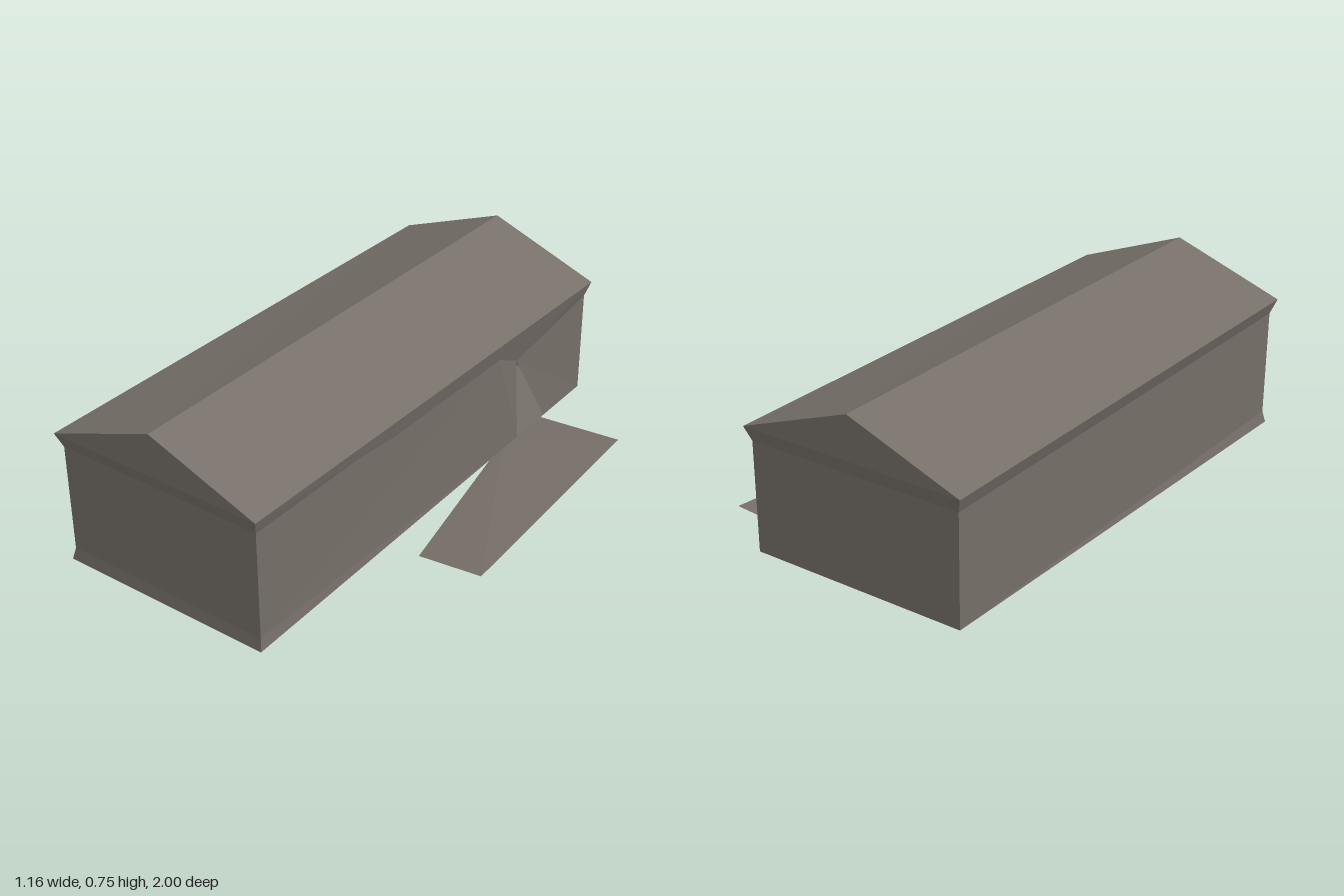
import * as THREE from 'three';

const weathered = new THREE.MeshStandardMaterial({ color: 0x766f68, side: THREE.DoubleSide });
weathered.name = 'weathered grey';

// Flat-sided mesh from convex polygons, corners counter-clockwise from outside
function panels(name, polygons) {
  const pos = [];
  for (const p of polygons) {
    for (let i = 1; i < p.length - 1; i++) pos.push(...p[0], ...p[i], ...p[i + 1]);
  }
  const geo = new THREE.BufferGeometry();
  geo.setAttribute('position', new THREE.Float32BufferAttribute(pos, 3));
  geo.computeVertexNormals();
  const mesh = new THREE.Mesh(geo, weathered);
  mesh.name = name;
  return mesh;
}

// Four corners of a level: front right, back right, back left, front left
function level(x0, x1, zFront, zBack, yFront, yBack) {
  return [[x1, yFront, zFront], [x1, yBack, zBack], [x0, yBack, zBack], [x0, yFront, zFront]];
}

// Side i of the band between two levels
const side = (lo, hi, i) => [lo[i], lo[(i + 1) % 4], hi[(i + 1) % 4], hi[i]];

export function createModel() {
  const group = new THREE.Group();
  group.name = 'shed';

  // The floor slopes up to the back, so the flared foot tapers away there
  const foot = level(-0.57, 0.272, 0.99, -0.98, 0.08, 0.13);
  const low = level(-0.56, 0.265, 0.98, -0.98, 0.125, 0.131);
  foot[1][0] = low[1][0];
  foot[2][0] = low[2][0];
  const high = level(-0.56, 0.265, 0.98, -0.98, 0.535, 0.535);
  const eave = level(-0.58, 0.282, 1, -1, 0.59, 0.59);
  const ridgeFront = [-0.145, 0.75, 1];
  const ridgeBack = [-0.155, 0.75, -1];

  // Torn opening in the right wall
  const tearTop = [0.247, 0.445, -0.53];
  const tearFront = [0.267, 0.118, -0.53];
  const tearBack = [0.265, 0.124, -0.72];
  const bandEnd = [0.265, 0.535, -0.38];

  group.add(panels('floor', [[foot[3], foot[2], foot[1], foot[0]]]));
  group.add(panels('walls', [1, 2, 3].map((i) => side(low, high, i))));
  group.add(panels('footFlare', [1, 2, 3].map((i) => side(foot, low, i))));
  group.add(panels('eaveFlare', [1, 2, 3].map((i) => side(high, eave, i))));
  group.add(panels('tornWall', [
    [foot[0], tearFront, low[0]],
    [low[0], tearFront, bandEnd, high[0]],
    [tearFront, tearTop, bandEnd],
    [tearBack, low[1], tearTop],
    [low[1], high[1], tearTop],
  ]));
  group.add(panels('saggingEave', [
    [high[0], bandEnd, eave[0]],
    [bandEnd, tearTop, eave[0]],
    [tearTop, eave[1], eave[0]],
    [tearTop, high[1], eave[1]],
  ]));

  // Roof and gables
  group.add(panels('roof', [
    [eave[0], eave[1], ridgeBack, ridgeFront],
    [eave[2], eave[3], ridgeFront, ridgeBack],
  ]));
  group.add(panels('gables', [
    [eave[3], eave[0], ridgeFront],
    [eave[1], eave[2], ridgeBack],
  ]));

  // Bent sheet lying below the opening
  const inner = [0.21, 0.08, -0.53];
  const innerBack = [0.21, 0.08, -0.76];
  const outerBack = [0.577, 0.106, -0.76];
  const outerFront = [0.577, 0.028, 0.18];
  const innerFront = [0.315, 0, 0.18];
  group.add(panels('fallenSheet', [
    [inner, outerBack, innerBack],
    [inner, outerFront, outerBack],
    [inner, innerFront, outerFront],
  ]));

  return group;
}
